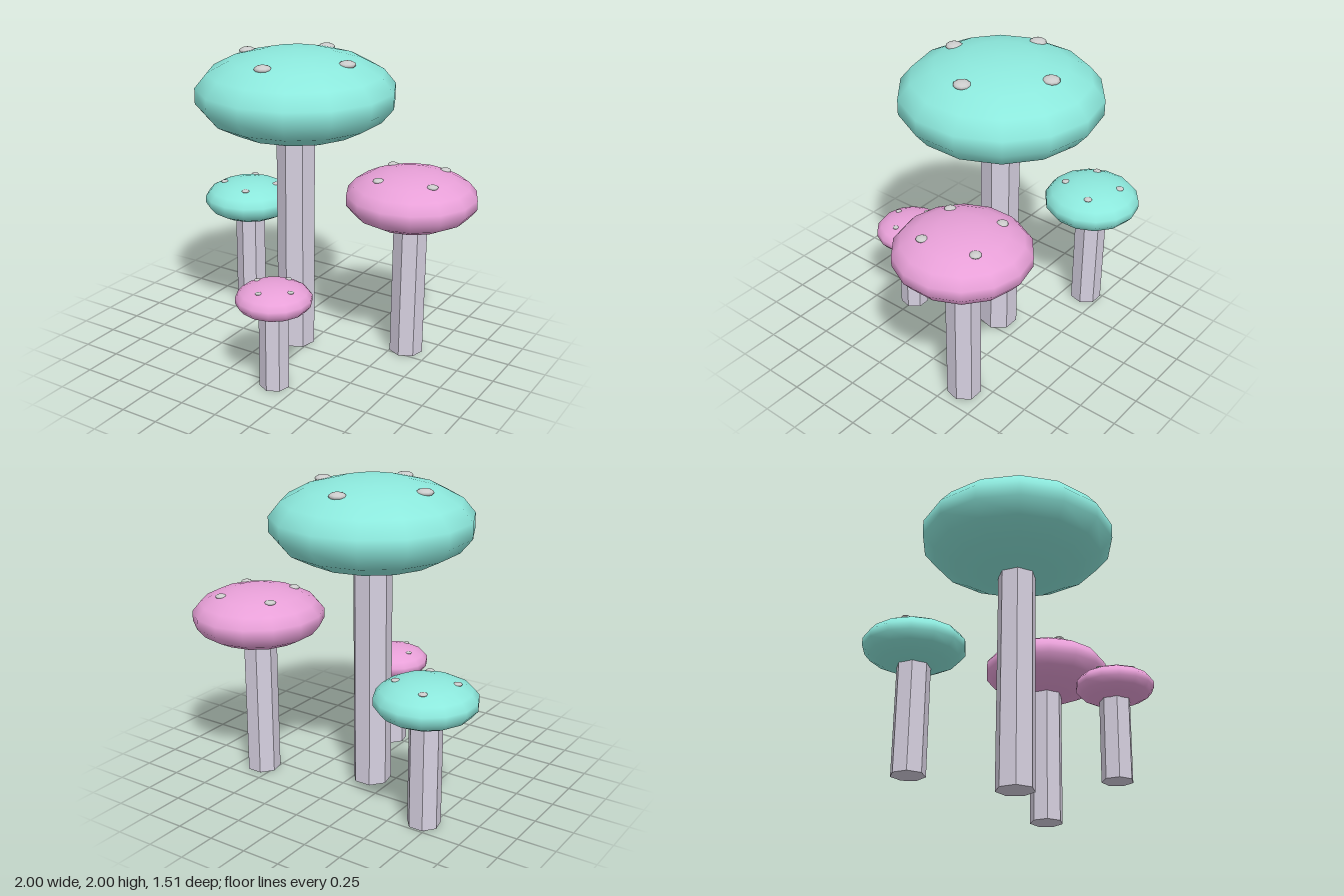
import * as THREE from 'three';

const TEAL = 0x8ce8dc, PINK = 0xe8a0d8;

// x, z: position; r: cap radius; bottom, top: cap heights; stemR: stem radius; turn: rotation of the spots
const MUSHROOMS = [
  { name: 'tallMushroom', x: -0.105, z: -0.07, r: 0.64, bottom: 1.435, top: 2.0, stemR: 0.125, turn: 0, color: TEAL },
  { name: 'mediumMushroom', x: 0.588, z: -0.338, r: 0.426, bottom: 0.888, top: 1.26, stemR: 0.11, turn: 0.573, color: PINK },
  { name: 'shortMushroom', x: -0.695, z: -0.392, r: 0.318, bottom: 0.668, top: 0.945, stemR: 0.105, turn: 1.146, color: TEAL },
  { name: 'tinyMushroom', x: 0.106, z: 0.515, r: 0.24, bottom: 0.49, top: 0.697, stemR: 0.095, turn: 1.72, color: PINK },
];

const stemMaterial = new THREE.MeshStandardMaterial({ color: 0xd6d0e0, flatShading: true });
const spotMaterial = new THREE.MeshStandardMaterial({ color: 0xcccccc });

function addMesh(parent, name, geometry, material) {
  const mesh = new THREE.Mesh(geometry, material);
  mesh.name = name;
  parent.add(mesh);
  return mesh;
}

function makeMushroom({ name, x, z, r, bottom, top, stemR, turn, color }) {
  const mushroom = new THREE.Group();
  mushroom.name = name;
  mushroom.position.set(x, 0, z);

  // Seven-sided stem, ending just inside the cap
  const stemHeight = bottom + 0.1 * (top - bottom);
  const stem = addMesh(mushroom, 'stem', new THREE.CylinderGeometry(stemR, stemR, stemHeight, 7), stemMaterial);
  stem.position.y = stemHeight / 2;

  // Cap and spots are unit spheres squashed together
  const head = new THREE.Group();
  head.name = 'head';
  head.position.y = (bottom + top) / 2;
  head.scale.set(r, (top - bottom) / 2, r);
  mushroom.add(head);

  const capGeometry = new THREE.SphereGeometry(1, 14, 9).rotateY(Math.PI / 2);
  addMesh(head, 'cap', capGeometry, new THREE.MeshStandardMaterial({ color }));

  // Four spots around the crown
  for (let i = 0; i < 4; i++) {
    const a = turn + i * Math.PI / 2;
    const spot = addMesh(head, 'spot', new THREE.SphereGeometry(0.084, 10, 8), spotMaterial);
    spot.position.set(0.57 * Math.cos(a), 0.805, 0.57 * Math.sin(a));
  }
  return mushroom;
}

export function createModel() {
  const model = new THREE.Group();
  model.name = 'mushroomCluster';
  MUSHROOMS.forEach((m) => model.add(makeMushroom(m)));
  return model;
}
